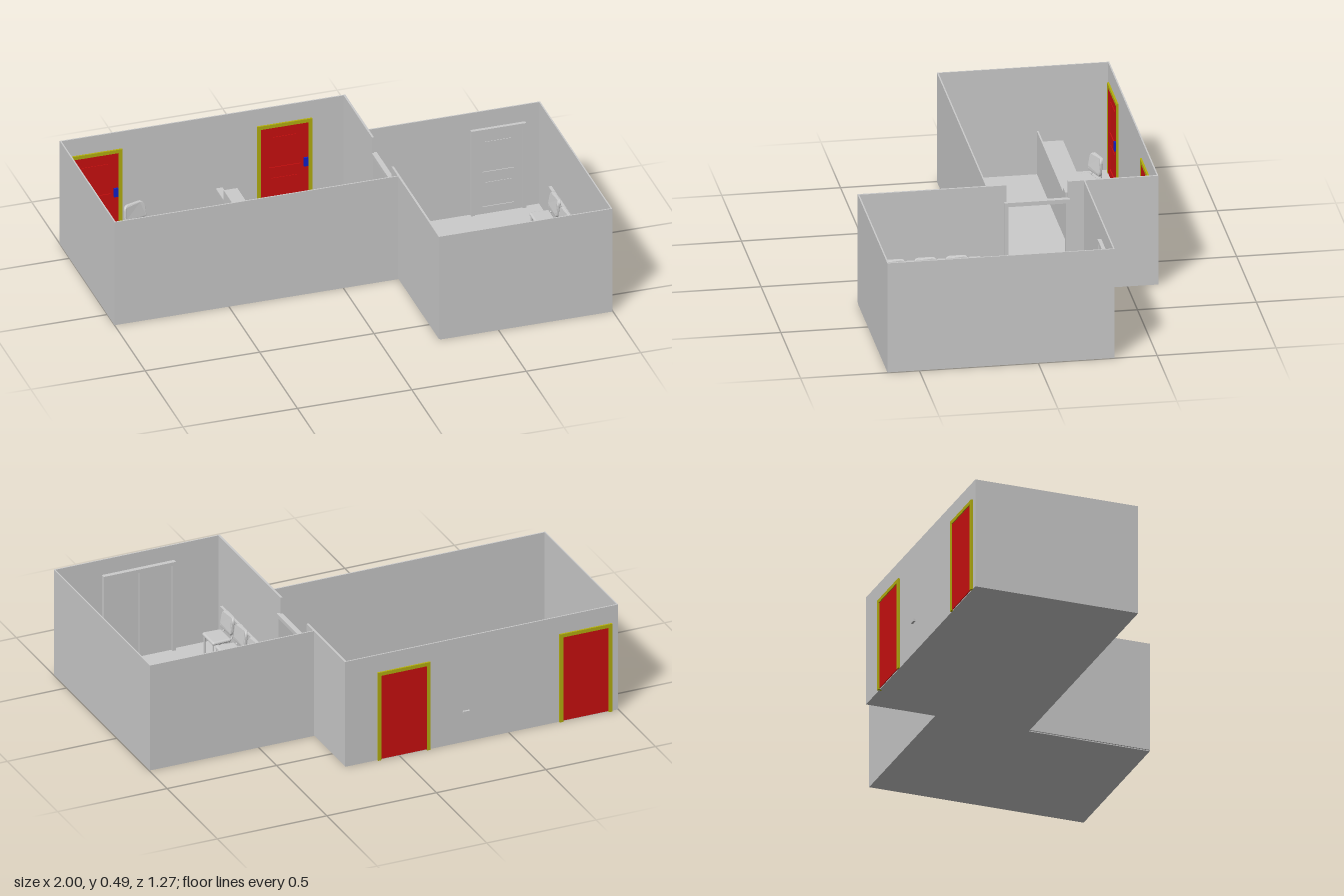
import * as THREE from 'three';
import { RoundedBoxGeometry } from 'three/addons/geometries/RoundedBoxGeometry.js';

const mat = (color) => new THREE.MeshStandardMaterial({ color, side: THREE.DoubleSide });
const GREY = mat(0xcccccc), RED = mat(0xcc1010), YELLOW = mat(0xb5b010), BLUE = mat(0x1020cc);
const H = 0.49, T = 0.006;

function mesh(parent, name, geo, m = GREY) {
  const o = new THREE.Mesh(geo, m);
  o.name = name;
  parent.add(o);
  return o;
}

// box given by its min and max along each axis
function span(parent, name, [x0, x1], [y0, y1], [z0, z1], m) {
  const o = mesh(parent, name, new THREE.BoxGeometry(x1 - x0, y1 - y0, z1 - z0), m);
  o.position.set((x0 + x1) / 2, (y0 + y1) / 2, (z0 + z1) / 2);
  return o;
}

function group(parent, name, x = 0, y = 0, z = 0, turn = 0) {
  const g = new THREE.Group();
  g.name = name;
  g.position.set(x, y, z);
  g.rotation.y = turn;
  parent.add(g);
  return g;
}

// jambs and head, centred on x, depth from z0 to z1
function frame(g, w, h, t, z, m) {
  span(g, 'leftJamb', [w / 2 - t, w / 2], [0, h], z, m);
  span(g, 'rightJamb', [-w / 2, -w / 2 + t], [0, h], z, m);
  span(g, 'head', [-w / 2 + t, w / 2 - t], [h - t, h], z, m);
}

function rect(T, x0, x1, y0, y1) {
  const p = new T();
  p.moveTo(x0, y0).lineTo(x1, y0).lineTo(x1, y1).lineTo(x0, y1).closePath();
  return p;
}

// door leaf with sunken panels on its inner face
function panelDoor(g, w, h, z0, z1, m) {
  span(g, 'leaf', [-w / 2, w / 2], [0.004, h], [z0, z1], m);
  const s = rect(THREE.Shape, -w / 2, w / 2, 0.004, h), e = 0.035;
  s.holes.push(rect(THREE.Path, -w / 2 + e, w / 2 - e, 0.04, h * 0.42));
  s.holes.push(rect(THREE.Path, -w / 2 + e, w / 2 - e, h * 0.52, h - 0.035));
  const rails = mesh(g, 'stilesAndRails', new THREE.ExtrudeGeometry(s, { depth: 0.004, bevelEnabled: false }), m);
  rails.position.z = z1;
  for (const [a, b] of [[0.052, h * 0.42 - 0.012], [h * 0.52 + 0.012, h - 0.047]])
    span(g, 'panel', [-w / 2 + e + 0.012, w / 2 - e - 0.012], [a, b], [z1, z1 + 0.0025], m);
}

// seat, curved back and four legs; faces +z
function chair(parent, name, x, z, turn) {
  const g = group(parent, name, x, 0, z, turn);
  const seat = new RoundedBoxGeometry(0.108, 0.016, 0.092, 3, 0.008);
  const p = seat.attributes.position;
  for (let i = 0; i < p.count; i++) {
    const u = p.getX(i) / 0.054, v = p.getZ(i) / 0.046;
    p.setX(i, p.getX(i) * (1 + 0.04 * v));
    p.setZ(i, p.getZ(i) - (v > 0 ? 0.006 * u * u : 0));
  }
  seat.computeVertexNormals();
  mesh(g, 'seat', seat).position.set(0, 0.098, 0.01);

  const outline = new THREE.Shape();
  outline.moveTo(-0.038, 0.12).lineTo(0.038, 0.12)
    .quadraticCurveTo(0.05, 0.12, 0.05, 0.135).lineTo(0.048, 0.175)
    .quadraticCurveTo(0.045, 0.192, 0.03, 0.192).lineTo(-0.03, 0.192)
    .quadraticCurveTo(-0.045, 0.192, -0.048, 0.175).lineTo(-0.05, 0.135)
    .quadraticCurveTo(-0.05, 0.12, -0.038, 0.12);
  const back = new THREE.ExtrudeGeometry(outline, {
    depth: 0.008, bevelSize: 0.003, bevelThickness: 0.003, bevelSegments: 2, curveSegments: 6,
  });
  const q = back.attributes.position;
  for (let i = 0; i < q.count; i++) q.setZ(i, q.getZ(i) + 3 * q.getX(i) ** 2 - 0.15 * (q.getY(i) - 0.12));
  back.computeVertexNormals();
  mesh(g, 'backrest', back).position.z = -0.047;

  for (const s of [-1, 1]) {
    const path = new THREE.CatmullRomCurve3([
      [s * 0.04, 0.092, 0.02], [s * 0.04, 0.092, -0.03], [s * 0.04, 0.105, -0.044], [s * 0.04, 0.14, -0.047],
    ].map((a) => new THREE.Vector3(...a)));
    mesh(g, 'backSupport', new THREE.TubeGeometry(path, 10, 0.004, 8));
    for (const lz of [-0.028, 0.044]) {
      const leg = mesh(g, 'leg', new THREE.CylinderGeometry(0.004, 0.004, 0.09, 8));
      leg.position.set(s * 0.044, 0.05, lz);
    }
  }
}

export function createModel() {
  const root = new THREE.Group();
  root.name = 'officeAndWaitingRoom';
  const X0 = -1, XM = 0.245, X1 = 0.997;
  const ZB = -0.63, ZA = 0.095, ZC = -0.322, ZF = 0.634;

  // floors
  span(root, 'officeFloor', [X0, XM], [0, 0.007], [ZB, ZA]);
  span(root, 'waitingRoomFloor', [XM, X1], [0, 0.007], [ZC, ZF]);

  // walls, with a full-height gap between the rooms
  const y = [0.004, H];
  span(root, 'officeBackWall', [X0, XM], y, [ZB, ZB + T]);
  span(root, 'officeFrontWall', [X0, XM], y, [ZA - T, ZA]);
  span(root, 'officeSideWall', [X0, X0 + T], y, [ZB, ZA]);
  span(root, 'dividingWallBack', [XM - T, XM + T / 2], y, [ZB, -0.25]);
  span(root, 'dividingWallFront', [XM - T, XM + T / 2], y, [0.01, ZF]);
  span(root, 'waitingBackWall', [XM, X1], y, [ZC, ZC + T]);
  span(root, 'waitingFrontWall', [XM, X1], y, [ZF - T, ZF]);
  span(root, 'waitingSideWall', [X1 - T, X1], y, [ZC, ZF]);

  // red doors through the back wall
  for (const x of [-0.85, -0.02]) {
    const g = group(root, 'redDoor', x, 0, ZB);
    frame(g, 0.24, 0.41, 0.016, [-0.008, 0.014], YELLOW);
    panelDoor(g, 0.208, 0.394, -0.004, 0.008, RED);
    span(g, 'handlePlate', [0.082, 0.1], [0.19, 0.23], [0.012, 0.02], BLUE);
  }

  // frame in the gap between the rooms
  const gap = group(root, 'passageFrame', 0.25, 0, -0.118, Math.PI / 2);
  frame(gap, 0.236 + 0.04, 0.415, 0.018, [-0.011, 0.011]);

  // inner door of the waiting room
  const inner = group(root, 'innerDoor', 0.81, 0, ZC + T);
  frame(inner, 0.24, 0.41, 0.016, [0, 0.016]);
  panelDoor(inner, 0.208, 0.394, 0, 0.006, GREY);

  // double entrance door on the front wall
  const entry = group(root, 'entranceDoor', 0.615, 0, ZF - T, Math.PI);
  frame(entry, 0.33, 0.42, 0.016, [0, 0.02]);
  for (const s of [-1, 1])
    span(entry, 'entranceLeaf', [s * 0.0755 - 0.0735, s * 0.0755 + 0.0735], [0.004, 0.404], [0, 0.008]);

  // wall rails behind the chairs
  span(root, 'leftChairRail', [X1 - T - 0.014, X1 - T], [0.155, 0.18], [-0.15, 0.47]);
  span(root, 'rightChairRail', [XM, XM + 0.013], [0.155, 0.18], [0.12, 0.59]);

  // chairs
  for (let i = 0; i < 4; i++) chair(root, 'leftWaitingChair', 0.925, -0.04 + i * 0.132, -Math.PI / 2);
  for (let i = 0; i < 3; i++) chair(root, 'rightWaitingChair', 0.314, 0.22 + i * 0.132, Math.PI / 2);
  chair(root, 'deskChair', -0.695, -0.485, 0.3);

  // reception desk, end pedestal and flap reaching through the back wall
  const desk = group(root, 'receptionDesk');
  span(desk, 'deskTop', [X0 + T, -0.335], [0.14, 0.152], [-0.435, -0.33]);
  span(desk, 'deskFront', [X0 + T, -0.335], [0.004, 0.2], [-0.332, -0.325]);
  span(desk, 'deskPedestal', [-0.335, -0.275], [0.004, 0.22], [-0.475, -0.325]);
  span(desk, 'counterFlap', [-0.32, -0.29], [0.136, 0.146], [-0.64, -0.475]);

  return root;
}
